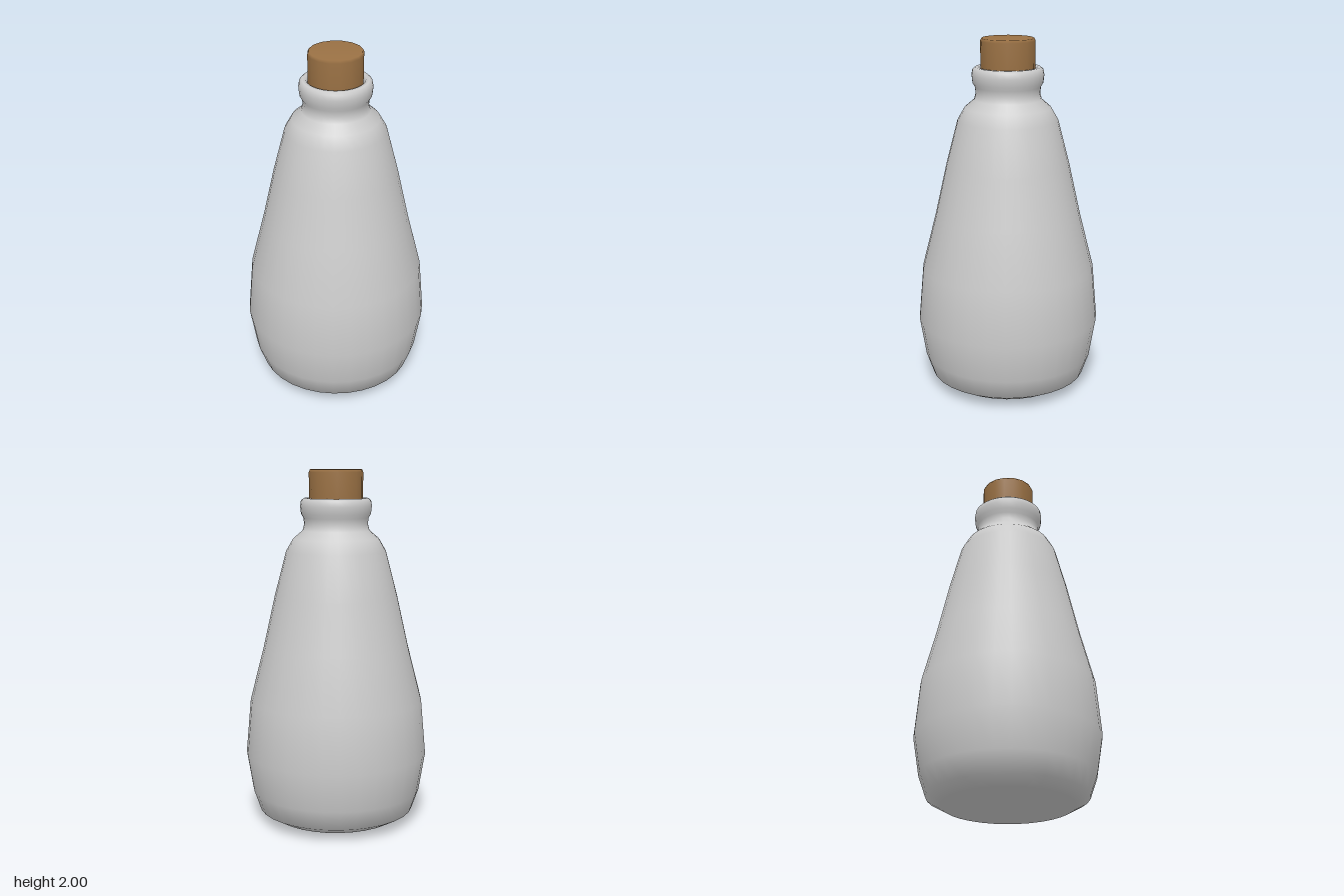
import * as THREE from 'three';

// Turn a [radius, height] profile (bottom to top) around the y axis
function turned(name, profile, sides, color) {
  const points = profile.map(([r, y]) => new THREE.Vector2(r, y));
  const mesh = new THREE.Mesh(
    new THREE.LatheGeometry(points, sides),
    new THREE.MeshStandardMaterial({ color, side: THREE.DoubleSide })
  );
  mesh.name = name;
  return mesh;
}

export function createModel() {
  const model = new THREE.Group();
  model.name = 'corkedBottle';

  // Bottle: shallow pointed base, tapering body, shoulder, neck and rolled lip
  model.add(turned('bottle', [
    [0, 0], [0.36, 0.025], [0.44, 0.07], [0.48, 0.185], [0.515, 0.4],
    [0.488, 0.705], [0.41, 1.01], [0.345, 1.3], [0.28, 1.55],
    [0.24, 1.62], [0.187, 1.665], [0.178, 1.7], [0.182, 1.735],
    [0.195, 1.757], [0.2, 1.8], [0.195, 1.83], [0.18, 1.843],
    [0.16, 1.842], [0.146, 1.82], [0.142, 1.7],
  ], 32, 0xcccccc));

  // Cork: plug with a slightly softened top edge
  model.add(turned('cork', [
    [0, 1.7], [0.14, 1.7], [0.15, 1.83], [0.151, 1.985], [0.144, 2], [0, 2],
  ], 16, 0x9a7144));

  return model;
}
